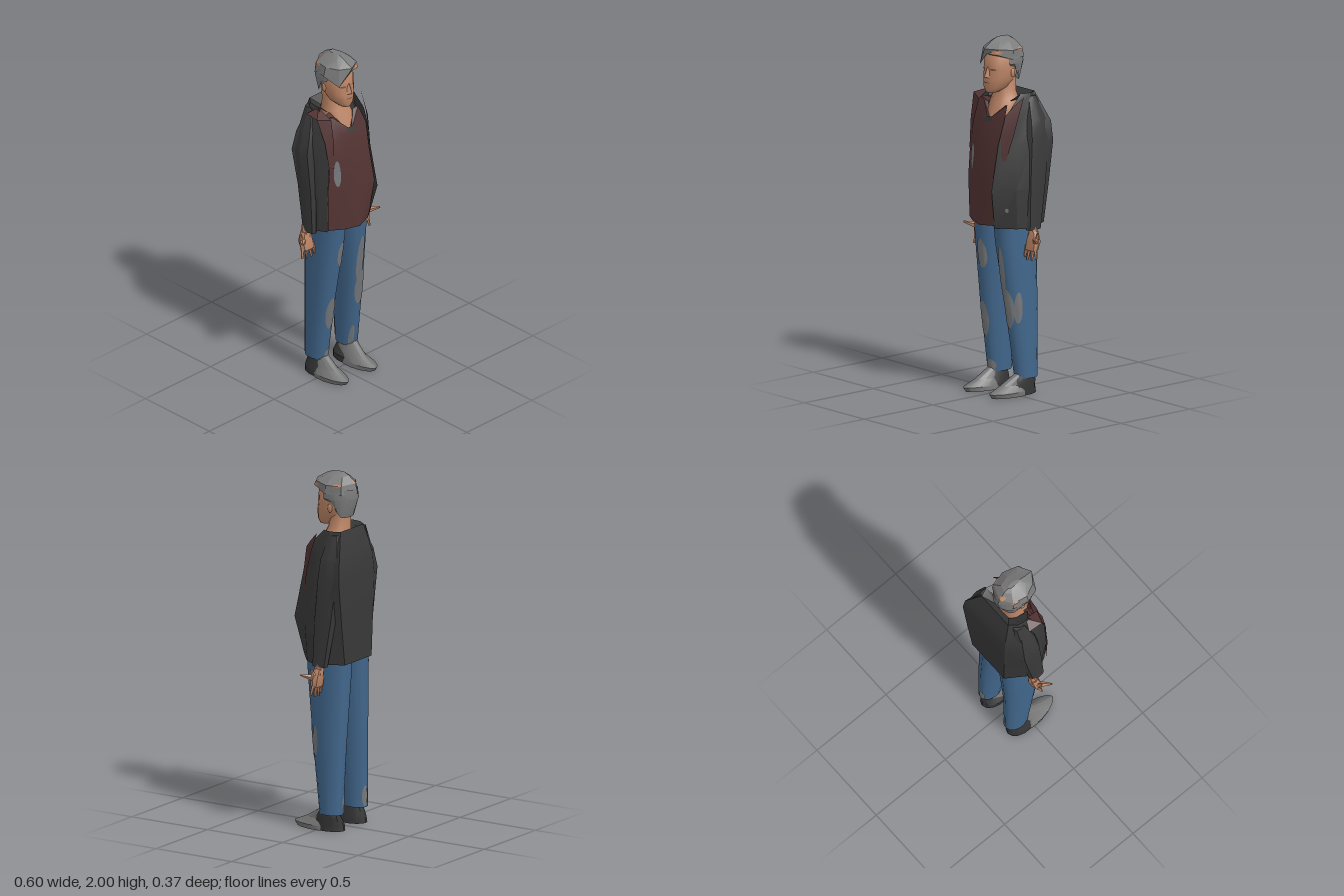
import * as THREE from 'three';
import { toCreasedNormals } from 'three/addons/utils/BufferGeometryUtils.js';

const mat = (name, color, side = THREE.FrontSide) => {
  const m = new THREE.MeshStandardMaterial({ color, side });
  m.name = name;
  return m;
};
const D = THREE.DoubleSide;
const M = {
  jacket: mat('charcoal jacket', 0x393939, D), shirt: mat('maroon shirt', 0x533333, D),
  skin: mat('skin', 0xbc8566, D), hair: mat('grey hair', 0x7c7c7c, D),
  jeans: mat('denim blue', 0x41668b), worn: mat('worn grey', 0x75777a, D),
  shoe: mat('shoe grey', 0x737373), dark: mat('shoe dark', 0x343434, D),
  face: mat('face shadow', 0x7a5240, D),
};

// Horizontal outline: centre x, half width, front z and back z; p below 1 squares it off, above 1 points it
function ring(y, cx, rx, zf, zb, p = 0.85, n = 14, from = 0, to = Math.PI * 2) {
  const closed = to - from > 6.28, pts = [];
  const pw = v => Math.sign(v) * Math.abs(v) ** p;
  for (let i = 0; i < n; i++) {
    const a = from + (to - from) * i / (closed ? n : n - 1);
    pts.push([cx + rx * pw(Math.sin(a)), y, (zf + zb) / 2 + (zf - zb) / 2 * pw(Math.cos(a))]);
  }
  return pts;
}

// Surface through rows of points, listed from bottom to top and anticlockwise from above
function loft(rows, closed = true, crease = 0.75) {
  const n = rows[0].length, pos = rows.flat(2), idx = [];
  for (let i = 0; i < rows.length - 1; i++) {
    for (let j = 0; j < (closed ? n : n - 1); j++) {
      const a = i * n + j, b = i * n + (j + 1) % n;
      idx.push(a, b, b + n, a, b + n, a + n);
    }
  }
  if (closed) {
    const t = (rows.length - 1) * n;
    for (let j = 1; j < n - 1; j++) idx.push(0, j + 1, j, t, t + j, t + j + 1);
  }
  const g = new THREE.BufferGeometry();
  g.setAttribute('position', new THREE.Float32BufferAttribute(pos, 3));
  g.setIndex(idx);
  return toCreasedNormals(g, crease);
}

// Tapered limb between two points
function limb(a, b, r1, r2, sides = 5) {
  const A = new THREE.Vector3(...a), B = new THREE.Vector3(...b), d = B.clone().sub(A);
  const g = new THREE.CylinderGeometry(r2, r1, d.length(), sides);
  g.applyQuaternion(new THREE.Quaternion().setFromUnitVectors(new THREE.Vector3(0, 1, 0), d.normalize()));
  g.translate(...A.add(B).multiplyScalar(0.5));
  return toCreasedNormals(g, 0.6);
}

// Oval patch wrapped onto a mesh along an axis; u is x for axis 'z', or z for axis 'x'
function patch(target, cu, cy, ru, ry, face = 1, axis = 'z') {
  const g = new THREE.RingGeometry(0.001, 1, 16, 4), p = g.attributes.position;
  const ray = new THREE.Raycaster(), other = axis === 'z' ? 'x' : 'z';
  let depth = 0;
  for (let i = 0; i < p.count; i++) {
    const v = new THREE.Vector3(0, cy + p.getY(i) * ry, 0), dir = new THREE.Vector3();
    v[other] = cu + p.getX(i) * ru;
    v[axis] = face;
    dir[axis] = -face;
    ray.set(v, dir);
    const hit = ray.intersectObject(target)[0];
    if (hit) depth = hit.point[axis];
    v[axis] = depth + face * 0.004;
    p.setXYZ(i, v.x, v.y, v.z);
  }
  g.computeVertexNormals();
  return g;
}

export function createModel() {
  const model = new THREE.Group();
  model.name = 'man';
  const add = (name, geo, material) => {
    const m = new THREE.Mesh(geo, material);
    m.name = name;
    model.add(m);
    return m;
  };
  const at = y => ([x, z]) => [x, y, z];

  // Sleeve sections from cuff to shoulder: y, centre x, half width, front z, back z
  const sleeves = {
    left: [[0.945, 0.207, 0.024, 0.0, -0.1], [1.2, 0.196, 0.032, -0.005, -0.145], [1.45, 0.18, 0.042, -0.02, -0.18],
      [1.55, 0.165, 0.042, -0.03, -0.17], [1.68, 0.128, 0.025, -0.06, -0.13]],
    right: [[0.945, -0.208, 0.024, 0.03, -0.065], [1.2, -0.198, 0.034, 0.02, -0.11], [1.43, -0.198, 0.043, 0.0, -0.135],
      [1.55, -0.172, 0.04, -0.01, -0.13], [1.68, -0.132, 0.025, -0.05, -0.12]],
  };

  // Legs, shoes, sleeves and hands, one side at a time
  for (const s of [1, -1]) {
    const side = s > 0 ? 'left' : 'right', ax = s > 0 ? 0.125 : -0.102;
    const leg = add(side + 'TrouserLeg', loft([
      ring(0.095, ax, 0.053, 0.0, s > 0 ? -0.14 : -0.15, 1), ring(0.5, s > 0 ? 0.108 : -0.1, 0.063, 0.055, -0.152, 0.95),
      ring(0.86, s * 0.084, 0.077, 0.098, -0.16, 0.85), ring(1.0, s * 0.08, 0.079, 0.108, -0.16, 0.8),
    ]), M.jeans);
    const worn = s > 0
      ? [[0.112, 0.49, 0.036, 0.115], [0.09, 0.69, 0.024, 0.16], [0.095, 0.16, 0.012, 0.075]]
      : [[-0.102, 0.4, 0.032, 0.105], [-0.07, 0.78, 0.028, 0.085], [-0.09, 0.13, 0.028, 0.035]];
    worn.forEach(w => add(side + 'WornPatch', patch(leg, ...w), M.worn));
    add(side + 'HeelPatch', patch(leg, ax - s * 0.015, 0.16, 0.016, 0.06, -1), M.worn);
    if (s > 0) add('leftOuterPatch', patch(leg, 0.015, 0.5, 0.022, 0.09, 1, 'x'), M.worn);

    add(side + 'Shoe', loft([
      ring(0, s * 0.108, 0.066, 0.165, -0.13, 1.15), ring(0.025, s * 0.11, 0.064, 0.183, -0.13, 1.15),
      ring(0.06, s * 0.106, 0.044, 0.1, -0.12, 1.1), ring(0.12, ax * 0.98, 0.028, 0.0, -0.11),
    ], true, 0.4), M.shoe);
    add(side + 'ShoeHeel', loft([
      ring(0.001, s * 0.108, 0.062, 0.05, -0.142, 1), ring(0.035, s * 0.107, 0.06, 0.045, -0.136, 0.95),
      ring(0.08, ax, 0.042, 0.02, -0.125), ring(0.115, ax, 0.036, 0.0, -0.115),
    ], true, 0.4), M.dark);

    add(side + 'Sleeve', loft(sleeves[side].map(r => ring(...r, 0.8, 8)), true, 0.4), M.jacket);

    add(side + 'Wrist', limb([s * 0.205, 0.97, -0.05], [s * 0.213, 0.9, -0.045], 0.024, 0.029, 7), M.skin);
    add(side + 'Palm', loft([
      ring(0.83, s * 0.212, 0.045, -0.01, -0.055, 0.8, 8), ring(0.88, s * 0.22, 0.045, -0.012, -0.07, 0.8, 8),
      ring(0.935, s * 0.212, 0.028, -0.025, -0.07, 0.8, 8),
    ]), M.skin);
    [[0.175, 0.165, 0.785], [0.198, 0.187, 0.77], [0.222, 0.222, 0.772], [0.245, 0.26, 0.785]].forEach(([x0, x1, y]) =>
      add(side + 'Finger', limb([s * x0, 0.85, -0.035], [s * x1, y, -0.025], 0.013, 0.006), M.skin));
    add(side + 'Thumb', limb([s * 0.245, 0.885, -0.035], [s * 0.298, 0.905, 0.018], 0.02, 0.005), M.skin);
    add(side + 'ThumbTip', limb([s * 0.255, 0.9, -0.04], [s * 0.268, 0.938, -0.03], 0.014, 0.004), M.skin);
  }

  // Jacket shell, open at the front: rows run left front, left side, back, right side, right front
  const jacketRows = [
    [0.955, [0.09, 0.13], [0.185, 0.05], [0.218, -0.02], [0.15, -0.176], [-0.115, -0.174], [-0.2, -0.05], [-0.19, 0.03], [-0.165, 0.075]],
    [1.18, [0.12, 0.178], [0.195, 0.06], [0.218, -0.03], [0.186, -0.18], [-0.122, -0.178], [-0.222, -0.09], [-0.2, 0.04], [-0.172, 0.085]],
    [1.43, [0.115, 0.125], [0.165, 0.03], [0.205, -0.05], [0.22, -0.184], [-0.13, -0.182], [-0.238, -0.13], [-0.19, 0.03], [-0.155, 0.085]],
    [1.54, [0.125, 0.098], [0.155, 0.02], [0.185, -0.06], [0.208, -0.178], [-0.125, -0.173], [-0.212, -0.12], [-0.18, 0.02], [-0.155, 0.06]],
    [1.62, [0.135, 0.055], [0.15, 0.005], [0.165, -0.06], [0.166, -0.154], [-0.115, -0.153], [-0.175, -0.1], [-0.16, 0.01], [-0.155, 0.04]],
    [1.7, [0.13, -0.025], [0.14, -0.05], [0.145, -0.08], [0.125, -0.13], [-0.1, -0.13], [-0.135, -0.085], [-0.14, -0.05], [-0.14, -0.02]],
    [1.655, [0.085, 0.015], [0.08, -0.03], [0.075, -0.06], [0.055, -0.09], [-0.055, -0.09], [-0.08, -0.06], [-0.085, -0.03], [-0.09, 0.015]],
  ];
  const shell = add('jacket', loft(jacketRows.map(([y, ...pts]) => pts.map(at(y))), false, 0.4), M.jacket);
  add('jacketWornPatch', patch(shell, 0.15, 1.06, 0.008, 0.012), M.worn);

  // Shirt front with a V neck turned in at the collar
  const shirt = add('shirt', loft([
    [[-0.17, 0.97, 0.085], [-0.09, 0.965, 0.13], [0, 0.965, 0.162], [0.1, 0.97, 0.127]],
    [[-0.175, 1.2, 0.09], [-0.09, 1.2, 0.13], [0, 1.2, 0.15], [0.125, 1.2, 0.15]],
    [[-0.158, 1.4, 0.09], [-0.085, 1.4, 0.11], [0, 1.4, 0.125], [0.115, 1.4, 0.118]],
    [[-0.155, 1.55, 0.065], [-0.08, 1.55, 0.09], [0, 1.54, 0.1], [0.12, 1.55, 0.088]],
    [[-0.155, 1.65, 0.02], [-0.095, 1.64, 0.045], [0, 1.55, 0.098], [0.1, 1.64, 0.045]],
    [[-0.075, 1.65, 0.0], [-0.07, 1.63, 0.035], [0, 1.545, 0.08], [0.07, 1.63, 0.035]],
  ], false, 0.4), M.shirt);
  add('shirtWornPatch', patch(shirt, -0.12, 1.32, 0.02, 0.08), M.worn);

  // Turned-out lapels
  add('leftLapel', loft([
    [[0.128, 1.34, 0.118], [0.145, 1.34, 0.095]], [[0.124, 1.47, 0.112], [0.168, 1.47, 0.062]],
    [[0.132, 1.59, 0.09], [0.175, 1.58, 0.03]], [[0.15, 1.64, 0.045], [0.175, 1.69, -0.01]],
  ], false, 0.4), M.shirt);
  add('rightLapel', loft([
    [[-0.165, 1.36, 0.09], [-0.14, 1.36, 0.105]], [[-0.178, 1.52, 0.07], [-0.13, 1.52, 0.09]],
    [[-0.2, 1.66, 0.03], [-0.12, 1.64, 0.06]], [[-0.195, 1.665, -0.06], [-0.13, 1.69, -0.03]],
  ], false, 0.4), M.shirt);
  add('undershirt', loft([
    [[-0.03, 1.54, 0.1], [0.025, 1.54, 0.102]], [[-0.025, 1.565, 0.09], [0.025, 1.57, 0.09]],
  ], false), M.dark);

  // Neck and head
  const hx = -0.013;
  add('neck', loft([
    ring(1.54, 0, 0.07, 0.085, -0.08), ring(1.6, 0, 0.09, 0.065, -0.095), ring(1.66, -0.005, 0.076, 0.038, -0.095),
    ring(1.7, hx, 0.062, 0.025, -0.09), ring(1.78, hx, 0.064, 0.02, -0.09),
  ]), M.skin);
  const head = add('head', loft([
    ring(1.7, hx, 0.03, 0.09, 0.02), ring(1.728, hx, 0.058, 0.1, -0.05), ring(1.78, hx, 0.08, 0.098, -0.09, 0.9),
    ring(1.83, hx, 0.086, 0.09, -0.105, 0.9), ring(1.9, hx, 0.086, 0.09, -0.115, 0.95), ring(1.95, hx, 0.06, 0.05, -0.09, 1),
  ], true, 1.2), M.skin);
  add('nose', limb([hx, 1.785, 0.094], [hx, 1.845, 0.085], 0.022, 0.006, 4), M.skin);
  for (const s of [1, -1]) {
    add('eye', patch(head, hx + s * 0.037, 1.832, 0.018, 0.006), M.face);
    add('ear', new THREE.SphereGeometry(1, 8, 6).scale(0.008, 0.026, 0.016).translate(hx + s * 0.083, 1.808, -0.022), M.skin);
  }
  add('mouth', patch(head, hx, 1.757, 0.024, 0.003), M.face);

  // Hair: an angular crown with a swept fringe, and a wrap round the sides and back
  const top = [[-0.02, 1.985, 0.055], [0.02, 1.982, 0.03], [0.04, 1.982, -0.02], [0.025, 1.982, -0.075],
    [-0.02, 1.985, -0.09], [-0.055, 1.98, -0.065], [-0.06, 1.98, -0.01], [-0.05, 1.98, 0.035]];
  const crown = add('hairCrown', loft([
    [[-0.01, 1.918, 0.1], [0.055, 1.922, 0.088], [0.09, 1.89, 0.0], [0.075, 1.89, -0.098],
      [-0.025, 1.89, -0.143], [-0.1, 1.89, -0.09], [-0.12, 1.895, 0.0], [-0.085, 1.845, 0.085]],
    [[-0.012, 1.95, 0.115], [0.06, 1.95, 0.075], [0.09, 1.94, -0.01], [0.065, 1.94, -0.095],
      [-0.025, 1.945, -0.128], [-0.09, 1.945, -0.085], [-0.105, 1.945, 0.0], [-0.072, 1.945, 0.072]],
    top, top.map(([x, , z]) => [-0.02 + (x + 0.02) * 0.25, 2, -0.025 + (z + 0.025) * 0.55]),
  ], true, 0.3), M.hair);
  add('templeSkin', patch(crown, 0.045, 1.932, 0.024, 0.014), M.skin);
  add('backHairlineSkin', patch(crown, -0.03, 1.955, 0.016, 0.013, -1), M.skin);
  for (const s of [1, -1]) add('sideHairlineSkin', patch(crown, -0.07, 1.94, 0.025, 0.008, s, 'x'), M.skin);
  const arc = [1, 13, 1.2, Math.PI * 2 - 1.2];
  const nape = ring(1.755, hx, 0.08, 0.01, -0.105, ...arc).map(([x, y, z]) =>
    [x, y + 0.08 * THREE.MathUtils.smoothstep(z, -0.09, -0.03), z]);
  add('hairBack', loft([
    nape, ring(1.86, hx, 0.099, 0.085, -0.141, ...arc), ring(1.915, hx, 0.096, 0.09, -0.135, ...arc),
  ], false, 0.5), M.hair);

  return model;
}
